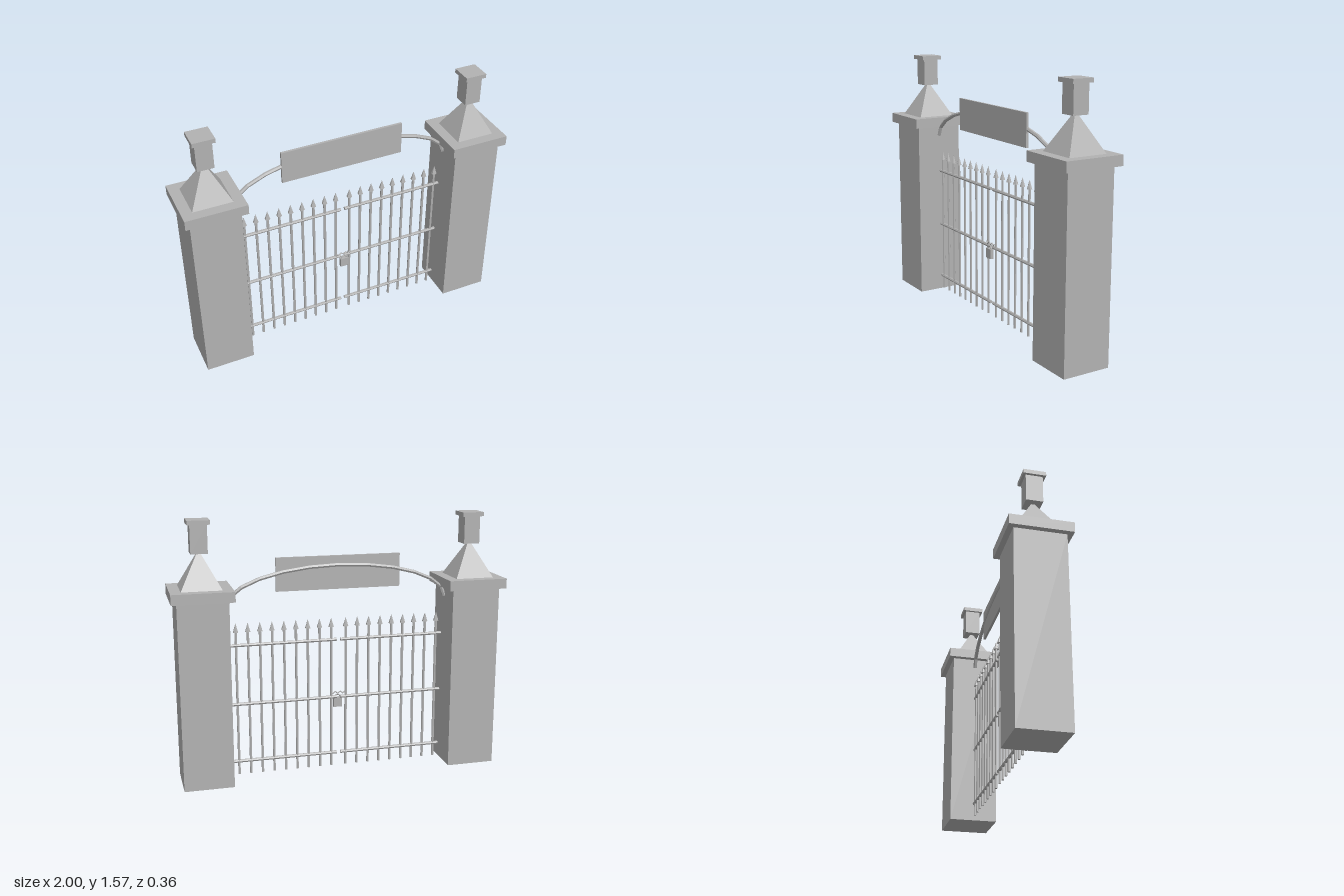
import * as THREE from 'three';

const stone = new THREE.MeshStandardMaterial({ color: 0xb2b2b2, flatShading: true });
stone.name = 'grey';

function add(parent, name, geometry, x = 0, y = 0, z = 0) {
  const mesh = new THREE.Mesh(geometry, stone);
  mesh.name = name;
  mesh.position.set(x, y, z);
  parent.add(mesh);
  return mesh;
}

// box given by its width, depth and bottom/top heights
function block(parent, name, w, d, y0, y1, x = 0, z = 0) {
  return add(parent, name, new THREE.BoxGeometry(w, y1 - y0, d), x, (y0 + y1) / 2, z);
}

// short straight bars joined along a list of points
function rod(parent, name, points, radius, sides) {
  const path = new THREE.CurvePath();
  for (let i = 1; i < points.length; i++) path.add(new THREE.LineCurve3(points[i - 1], points[i]));
  // sample exactly at the given points
  path.getPointAt = path.getPoint = (t) => {
    const f = t * (points.length - 1);
    const i = Math.min(Math.floor(f + 1e-6), points.length - 2);
    return points[i].clone().lerp(points[i + 1], f - i);
  };
  path.getTangentAt = path.getTangent = (t) => {
    const e = 0.5 / (points.length - 1);
    return path.getPoint(Math.min(1, t + e)).sub(path.getPoint(Math.max(0, t - e))).normalize();
  };
  const mesh = add(parent, name, new THREE.TubeGeometry(path, points.length - 1, radius, sides, false));
  // end caps
  [0, points.length - 1].forEach((i) => {
    const dir = path.getTangent(i ? 1 : 0).multiplyScalar(i ? 1 : -1);
    const cap = add(parent, name + 'End', new THREE.CircleGeometry(radius, sides), ...points[i].toArray());
    cap.quaternion.setFromUnitVectors(new THREE.Vector3(0, 0, 1), dir);
  });
  return mesh;
}

function makePillar(x) {
  const pillar = new THREE.Group();
  pillar.name = 'pillar';
  pillar.position.x = x;
  block(pillar, 'pillarShaft', 0.296, 0.296, 0, 1.12);
  block(pillar, 'pillarCap', 0.36, 0.36, 1.12, 1.18);
  const pyramid = new THREE.ConeGeometry(0.235 / Math.SQRT2, 0.22, 4).rotateY(Math.PI / 4);
  add(pillar, 'pyramid', pyramid, 0, 1.29, 0);
  block(pillar, 'finialPost', 0.098, 0.098, 1.38, 1.545);
  block(pillar, 'finialCap', 0.13, 0.13, 1.545, 1.57);
  return pillar;
}

function makeGateLeaf(side) {
  const leaf = new THREE.Group();
  leaf.name = side > 0 ? 'leftGate' : 'rightGate';
  // upright bars with spear points
  for (let i = 0; i < 9; i++) {
    const x = side * (0.045 + i * 0.072);
    add(leaf, 'bar', new THREE.CylinderGeometry(0.008, 0.008, 0.89, 6), x, 0.465, 0);
    add(leaf, 'spearPoint', new THREE.ConeGeometry(0.017, 0.055, 6), x, 0.932, 0);
  }
  // horizontal rails
  for (const y of [0.103, 0.463, 0.825]) {
    add(leaf, 'rail', new THREE.CylinderGeometry(0.01, 0.01, 0.642, 6).rotateZ(Math.PI / 2), side * 0.333, y, 0);
  }
  return leaf;
}

export function createModel() {
  const model = new THREE.Group();
  model.name = 'gateway';
  for (const side of [-1, 1]) model.add(makePillar(side * 0.82), makeGateLeaf(side));

  // overhead arch, bowed slightly backwards behind the sign
  const archPoints = [];
  for (let i = 0; i <= 12; i++) {
    const a = Math.PI * (1 - i / 12);
    archPoints.push(new THREE.Vector3(0.67 * Math.cos(a), 1.06 + 0.22 * Math.sin(a), -0.006 * Math.sin(a)));
  }
  rod(model, 'arch', archPoints, 0.012, 6);
  block(model, 'signBoard', 0.755, 0.015, 1.135, 1.335);

  // padlock and chain across the gap
  const lock = new THREE.Group();
  lock.name = 'lock';
  model.add(lock);
  block(lock, 'padlockBody', 0.052, 0.022, 0.395, 0.455, 0.002, 0.017);
  add(lock, 'shackle', new THREE.TorusGeometry(0.017, 0.004, 6, 10, Math.PI), 0.002, 0.455, 0.017);
  const chainPoints = [];
  for (let i = 0; i <= 12; i++) {
    chainPoints.push(new THREE.Vector3(-0.047 + i * 0.008, 0.486 + 0.006 * Math.cos(i * Math.PI / 2), 0.012));
  }
  rod(lock, 'chain', chainPoints, 0.004, 5);
  return model;
}
